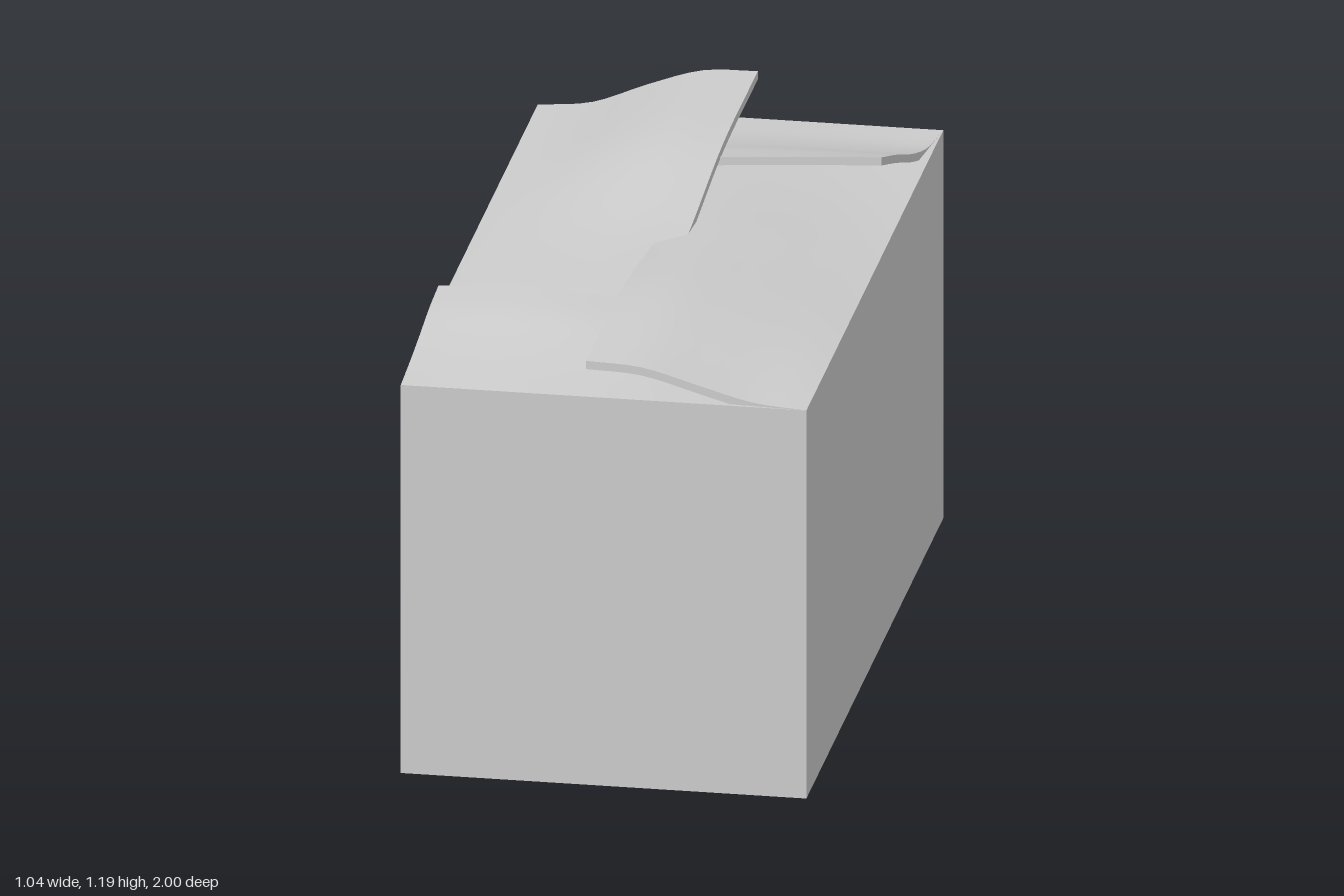
import * as THREE from 'three';
import { toCreasedNormals } from 'three/addons/utils/BufferGeometryUtils.js';

const W = 0.52, D = 1, H = 1.03, BOARD = 0.022;
const material = new THREE.MeshStandardMaterial({ color: 0xcccccc });

// Smooth curve through evenly spaced values, t from 0 to 1
function sample(values, t) {
  const n = values.length - 1;
  const i = Math.min(Math.floor(t * n), n - 1), f = t * n - i;
  const b = values[i], c = values[i + 1];
  const a = i > 0 ? values[i - 1] : 2 * b - c;
  const d = i + 2 <= n ? values[i + 2] : 2 * c - b;
  return b + 0.5 * f * (c - a + f * (2 * a - 5 * b + 4 * c - d + f * (3 * (b - c) + d - a)));
}

// A bent board: corners [x, z] run hinge start, hinge end, free end, free start.
// Each row of heights goes from hinge to free edge; rows go along the hinge.
function flap(name, corners, heights) {
  const [a, b, c, d] = corners.map(([x, z]) => new THREE.Vector2(x, z));
  const geometry = new THREE.BoxGeometry(1, 1, 1, 28, 1, 16);
  const pos = geometry.attributes.position;
  for (let i = 0; i < pos.count; i++) {
    const u = pos.getX(i) + 0.5, v = 0.5 - pos.getZ(i);
    const p = a.clone().lerp(b, u).lerp(d.clone().lerp(c, u), v);
    const top = sample(heights.map((row) => sample(row, v)), u);
    pos.setXYZ(i, p.x, pos.getY(i) > 0 ? top : top - BOARD, p.y);
  }
  const mesh = new THREE.Mesh(toCreasedNormals(geometry, 0.7), material);
  mesh.name = name;
  return mesh;
}

export function createModel() {
  const group = new THREE.Group();
  group.name = 'cardboardBox';

  // Four walls as one hollow extrusion
  const rectangle = (Type, x, z) => new Type([
    new THREE.Vector2(-x, -z), new THREE.Vector2(x, -z),
    new THREE.Vector2(x, z), new THREE.Vector2(-x, z),
  ]);
  const outline = rectangle(THREE.Shape, W, D);
  outline.holes.push(rectangle(THREE.Path, W - BOARD, D - BOARD));
  const walls = new THREE.Mesh(
    new THREE.ExtrudeGeometry(outline, { depth: H, bevelEnabled: false }).rotateX(-Math.PI / 2),
    material,
  );
  walls.name = 'walls';
  group.add(walls);

  // Floor inside the walls
  const floor = new THREE.Mesh(new THREE.BoxGeometry(2 * (W - BOARD), BOARD, 2 * (D - BOARD)), material);
  floor.name = 'floor';
  floor.position.y = BOARD / 2;
  group.add(floor);

  // Flaps tucked over one another in a pinwheel
  group.add(flap('rightLongFlap', [[-W, -D], [-W, D], [0.03, 0.97], [0.05, -0.97]], [
    [1.05, 1.07, 1.13, 1.18, 1.19],
    [1.05, 1.09, 1.14, 1.177, 1.175],
    [1.05, 1.08, 1.10, 1.117, 1.112],
    [1.05, 1.065, 1.08, 1.09, 1.085],
    [1.05, 1.05, 1.045, 1.045, 1.045],
  ]));
  group.add(flap('leftLongFlap', [[W, D], [W, -D], [-0.02, -0.97], [-0.05, 0.97]], [
    [1.05, 1.06, 1.095, 1.13, 1.135],
    [1.05, 1.085, 1.12, 1.148, 1.148],
    [1.05, 1.08, 1.105, 1.118, 1.105],
    [1.05, 1.06, 1.07, 1.075, 1.07],
    [1.05, 1.05, 1.045, 1.04, 1.04],
  ]));
  group.add(flap('frontFlap', [[-W, D], [W, D], [0.48, 0.43], [-W, 0.45]], [
    [1.05, 1.063, 1.08, 1.10, 1.11],
    [1.05, 1.065, 1.085, 1.11, 1.122],
    [1.05, 1.06, 1.075, 1.09, 1.10],
    [1.05, 1.05, 1.05, 1.05, 1.06],
    [1.05, 1.045, 1.04, 1.04, 1.04],
  ]));
  group.add(flap('backFlap', [[W, -D], [-W, -D], [-0.5, -0.46], [0.46, -0.44]], [
    [1.05, 1.055, 1.09, 1.14, 1.185],
    [1.05, 1.06, 1.09, 1.135, 1.168],
    [1.05, 1.06, 1.085, 1.12, 1.145],
    [1.05, 1.053, 1.06, 1.07, 1.08],
    [1.05, 1.045, 1.04, 1.04, 1.04],
  ]));

  return group;
}
